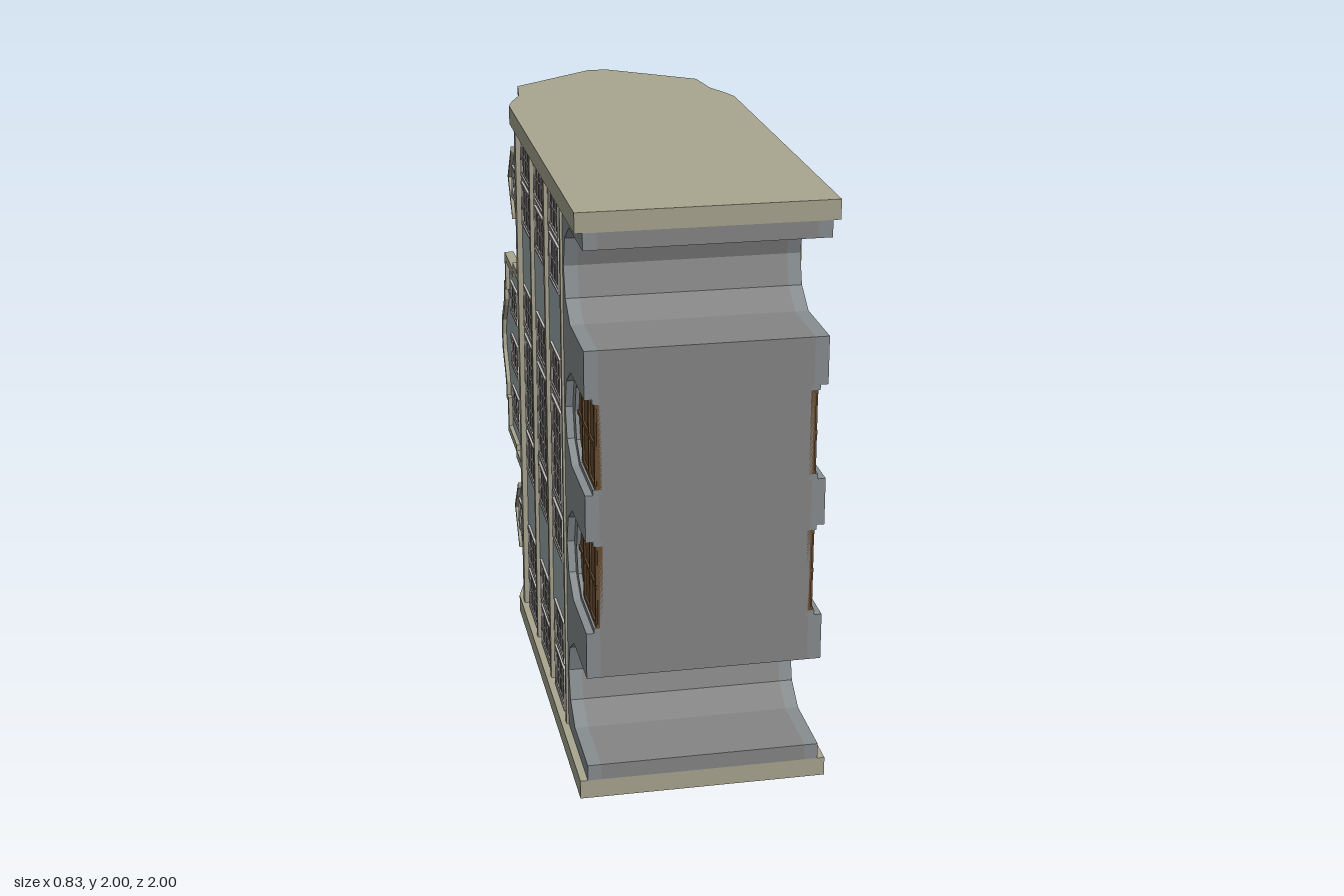
import * as THREE from 'three';

const mat = (color) => new THREE.MeshStandardMaterial({ color, flatShading: true, side: THREE.DoubleSide });
const M = {
  stone: mat(0xa8a590), wall: mat(0x9eabae), ground: mat(0x888d90), core: mat(0x858585),
  roof: mat(0x684c30), door: mat(0x684c30), glass: mat(0x4e4e4e), trim: mat(0xc4c0bc),
};

// The house is modelled upright (x along the facade, y up, z outward), then laid on its back.
function add(parent, name, geometry, material) {
  const mesh = new THREE.Mesh(geometry, material);
  mesh.name = name;
  parent.add(mesh);
  return mesh;
}

function box(parent, name, material, x0, x1, y0, y1, z0, z1) {
  const g = new THREE.BoxGeometry(x1 - x0, y1 - y0, z1 - z0);
  g.translate((x0 + x1) / 2, (y0 + y1) / 2, (z0 + z1) / 2);
  return add(parent, name, g, material);
}

function slab(points, z0, z1) {
  const shape = new THREE.Shape(points.map(([x, y]) => new THREE.Vector2(x, y)));
  const g = new THREE.ExtrudeGeometry(shape, { depth: z1 - z0, bevelEnabled: false });
  return g.translate(0, 0, z0);
}

// Full outline from its right half, listed bottom to top
const mirror = (half) => [...half, ...half.filter(([x]) => x > 0).reverse().map(([x, y]) => [-x, y])];
const shift = (points, dx) => points.map(([x, y]) => [x + dx, y]);
// Band between an open-bottomed outline and a smaller one
const band = (outer, inner) => [...outer, ...[...inner].reverse()];

const ARCH = mirror([[0.16, 0], [0.16, 0.26], [0.1, 0.35], [0, 0.38]]);
const DOOR = mirror([[0.143, 0], [0.143, 0.24], [0.09, 0.31], [0, 0.335]]);

// Ground storey outline with arches cut up from the bottom edge
function arcade(centres) {
  const pts = [[-0.935, 0]];
  for (const c of centres) pts.push(...shift(ARCH, c).reverse());
  pts.push([0.935, 0], [0.935, 0.4], [-0.935, 0.4]);
  return pts;
}

// Framed window; nx and ny are pane dividers given as fractions
function makeWindow(parent, cx, cy, w, h, z, xBars, yBars) {
  const win = new THREE.Group();
  win.name = 'window';
  win.position.set(cx, cy, z);
  parent.add(win);
  const ring = (name, a, b, t, d) => {
    const rect = (p, q) => [[-p, -q], [p, -q], [p, q], [-p, q]].map(([x, y]) => new THREE.Vector2(x, y));
    const s = new THREE.Shape(rect(a, b));
    s.holes.push(new THREE.Path(rect(a - t, b - t)));
    add(win, name, new THREE.ExtrudeGeometry(s, { depth: d, bevelEnabled: false }), M.trim);
  };
  ring('outerFrame', w / 2, h / 2, 0.007, 0.008);
  ring('innerFrame', w / 2 - 0.012, h / 2 - 0.012, 0.007, 0.006);
  const a = w / 2 - 0.015, b = h / 2 - 0.015;
  box(win, 'surround', M.wall, -w / 2, w / 2, -h / 2, h / 2, -0.002, 0.001);
  box(win, 'glass', M.glass, -a, a, -b, b, 0, 0.002);
  for (const f of xBars) box(win, 'mullion', M.trim, (2 * f - 1) * a - 0.003, (2 * f - 1) * a + 0.003, -b, b, 0, 0.005);
  for (const f of yBars) box(win, 'glazingBar', M.trim, -a, a, (2 * f - 1) * b - 0.003, (2 * f - 1) * b + 0.003, 0, 0.005);
}

// Panelled arched door in its recess
function makeDoor(parent, x) {
  const door = new THREE.Group();
  door.name = 'door';
  door.position.x = x;
  parent.add(door);
  add(door, 'doorLeaf', slab(DOOR, 0.335, 0.352), M.door);
  add(door, 'doorFrame', slab(band(ARCH, DOOR), 0.335, 0.365), M.ground);
  for (const u of [-0.136, 0, 0.136]) box(door, 'doorStile', M.door, u - 0.007, u + 0.007, 0, u ? 0.24 : 0.33, 0.35, 0.358);
  for (const y of [0.012, 0.12, 0.235]) box(door, 'doorRail', M.door, -0.14, 0.14, y - 0.008, y + 0.008, 0.35, 0.358);
}

// Small roof dormer with flared foot and pitched cap
function makeDormer(parent, x) {
  const dormer = new THREE.Group();
  dormer.name = 'dormer';
  dormer.position.x = x;
  parent.add(dormer);
  const face = mirror([[0.17, 1.5], [0.148, 1.53], [0.13, 1.575], [0.122, 1.625], [0, 1.715]]);
  add(dormer, 'dormerFront', slab(face, 0.35, 0.378), M.wall);
  add(dormer, 'dormerBody', slab(mirror([[0.1, 1.5], [0.1, 1.63], [0, 1.7]]), 0.25, 0.36), M.wall);
  const outer = mirror([[0.138, 1.62], [0, 1.728]]), inner = mirror([[0.115, 1.62], [0, 1.705]]);
  add(dormer, 'dormerRoof', slab(band(outer, inner), 0.22, 0.39), M.stone);
  makeWindow(dormer, 0, 1.583, 0.125, 0.14, 0.378, [0.5], [1 / 3, 2 / 3]);
}

// Stepped, bell-topped gable rising through the roof
function makeGable(parent) {
  const gable = new THREE.Group();
  gable.name = 'centreGable';
  parent.add(gable);
  const outer = mirror([[0.39, 1.41], [0.39, 1.53], [0.365, 1.53], [0.365, 1.755], [0.24, 1.755],
    [0.24, 1.795], [0.185, 1.795], [0.155, 1.81], [0.115, 1.84], [0.067, 1.88], [0, 1.893]]);
  const inner = outer.map(([x, y]) => [x * 0.92, 1.41 + (y - 1.41) * 0.94]);
  add(gable, 'gableWall', slab(inner, 0.37, 0.39), M.wall);
  add(gable, 'gableCoping', slab(band(outer, inner), 0.37, 0.405), M.stone);
  const bell = mirror([[0.19, 1.5], [0.19, 1.755], [0.15, 1.775], [0.105, 1.815], [0.06, 1.85], [0, 1.86]]);
  add(gable, 'gableRoof', slab(bell, 0.12, 0.375), M.stone);
  for (const x of [-0.21, 0, 0.215]) makeWindow(gable, x, 1.588, 0.13, 0.185, 0.39, [0.5], [1 / 3, 2 / 3]);
}

function makeFacade() {
  const facade = new THREE.Group();
  facade.name = 'facade';
  add(facade, 'arcadeFront', slab(arcade([-0.72, -0.24, 0.24, 0.72]), 0.345, 0.39), M.ground);
  for (const x of [-0.24, 0.24]) makeDoor(facade, x);
  // String courses between storeys and the eaves cornice
  for (const [y0, y1, z] of [[0.396, 0.417, 0.398], [0.743, 0.77, 0.398], [1.075, 1.1, 0.398], [1.38, 1.417, 0.404]])
    box(facade, 'stringCourse', M.stone, -0.935, 0.935, y0, y1, 0.36, z);
  // Three storeys of windows
  for (const y of [0.582, 0.917, 1.236]) {
    for (const s of [-1, 1])
      for (const x of [0.285, 0.67, 0.85]) makeWindow(facade, s * x, y, 0.16, 0.207, 0.385, [0.5], [1 / 3, 2 / 3]);
    makeWindow(facade, 0, y, 0.355, 0.207, 0.385, [0.22, 0.4, 0.6, 0.78], [1 / 3, 2 / 3]);
  }
  for (const x of [-0.67, 0.67]) makeDormer(facade, x);
  makeGable(facade);
  return facade;
}

export function createModel() {
  const house = new THREE.Group();
  house.name = 'house';

  // Solid core with two passages, upper walls
  add(house, 'groundCore', slab(arcade([-0.72, 0.72]), -0.345, 0.345), M.core);
  box(house, 'upperWalls', M.wall, -0.935, 0.935, 0.4, 1.41, -0.385, 0.385);

  // Mansard roof and end walls, profiles swept along the facade
  const roof = mirror([[0.385, 1.41], [0.361, 1.5], [0.335, 1.6], [0.315, 1.71], [0.035, 1.93]]);
  add(house, 'mansardRoof', slab(roof, -0.935, 0.935).rotateY(Math.PI / 2), M.roof);
  const end = mirror([[0.415, 0], [0.415, 1.45], [0.395, 1.52], [0.358, 1.61], [0.34, 1.768], [0.035, 2]]);
  for (const x of [-1, 0.935])
    add(house, 'endWall', slab(end, x, x + 0.065).rotateY(Math.PI / 2), M.stone);

  // Matching facades on both long sides
  const facade = makeFacade();
  const opposite = facade.clone();
  opposite.name = 'oppositeFacade';
  opposite.rotation.y = Math.PI;
  house.add(facade, opposite);

  // Lay on its back: facade length vertical, roof towards -z
  house.quaternion.setFromRotationMatrix(new THREE.Matrix4().makeBasis(
    new THREE.Vector3(0, 1, 0), new THREE.Vector3(0, 0, -1), new THREE.Vector3(-1, 0, 0)));
  house.position.set(0, 1, 1);

  const model = new THREE.Group();
  model.name = 'rowHouse';
  model.add(house);
  return model;
}
